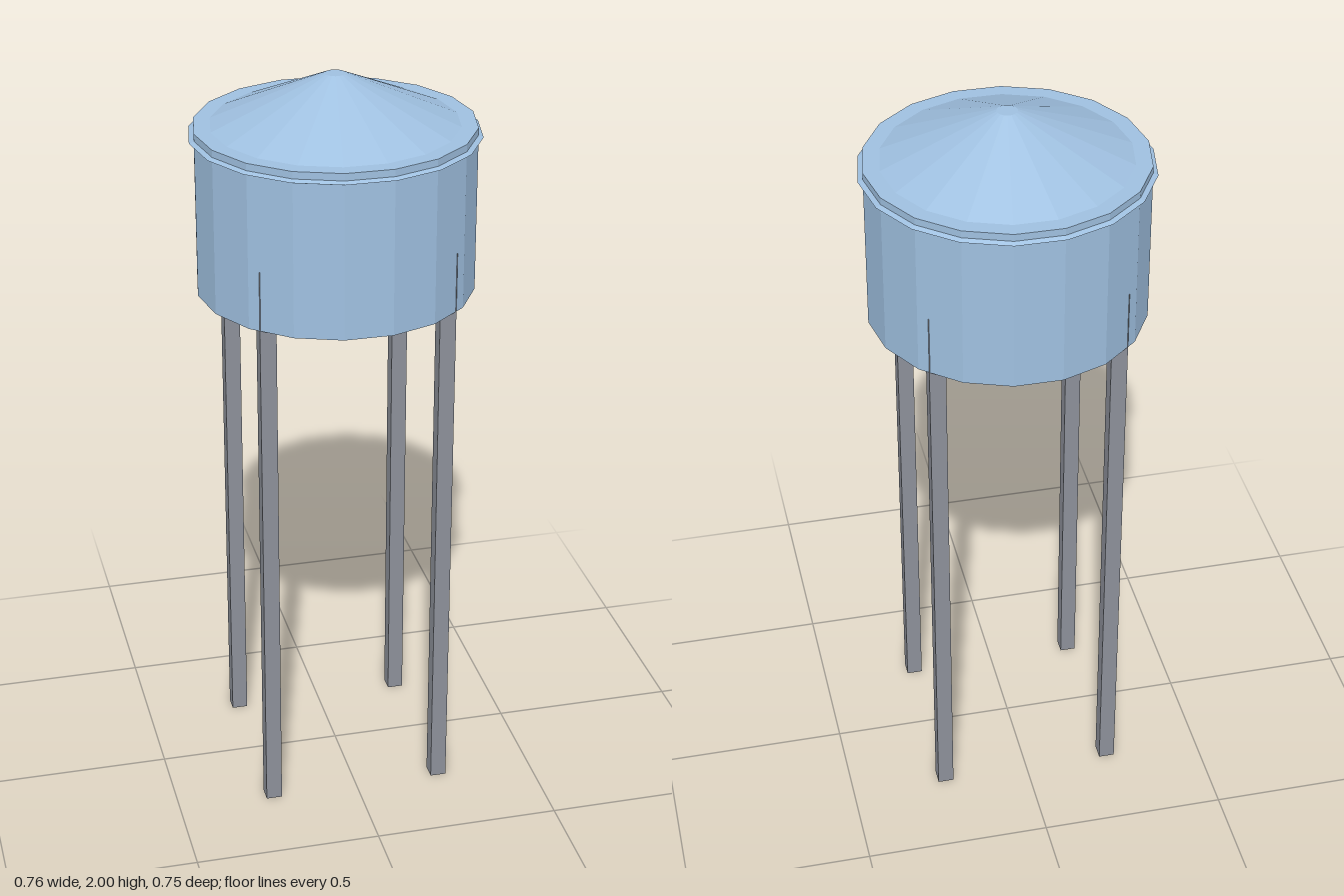
import * as THREE from 'three';

export function createModel() {
  const model = new THREE.Group();
  model.name = 'waterTower';
  const tankPaint = new THREE.MeshStandardMaterial({ color: 0x9fc0e0, flatShading: true });
  const steel = new THREE.MeshStandardMaterial({ color: 0x8c9099, flatShading: true });
  const SIDES = 18;

  // Upright faceted drum with a corner on the x axis
  function drum(name, rTop, rBottom, y0, y1) {
    const geometry = new THREE.CylinderGeometry(rTop, rBottom, y1 - y0, SIDES);
    geometry.rotateY(Math.PI / 2);
    const mesh = new THREE.Mesh(geometry, tankPaint);
    mesh.name = name;
    mesh.position.y = (y0 + y1) / 2;
    model.add(mesh);
  }

  drum('tank', 0.367, 0.367, 1.424, 1.868);
  // Roof cone whose eave pokes out just below the tank rim
  drum('roof', 0.027, 0.38, 1.843, 2);

  // Four square legs running up into the tank
  const legHeight = 1.585, legWidth = 0.043, legOffset = 0.236;
  const legGeometry = new THREE.BoxGeometry(legWidth, legHeight, legWidth);
  for (const [sz, end] of [[1, 'front'], [-1, 'back']]) {
    for (const [sx, side] of [[1, 'Left'], [-1, 'Right']]) {
      const leg = new THREE.Mesh(legGeometry, steel);
      leg.name = `${end}${side}Leg`;
      leg.position.set(sx * legOffset, legHeight / 2, sz * legOffset);
      model.add(leg);
    }
  }
  return model;
}
